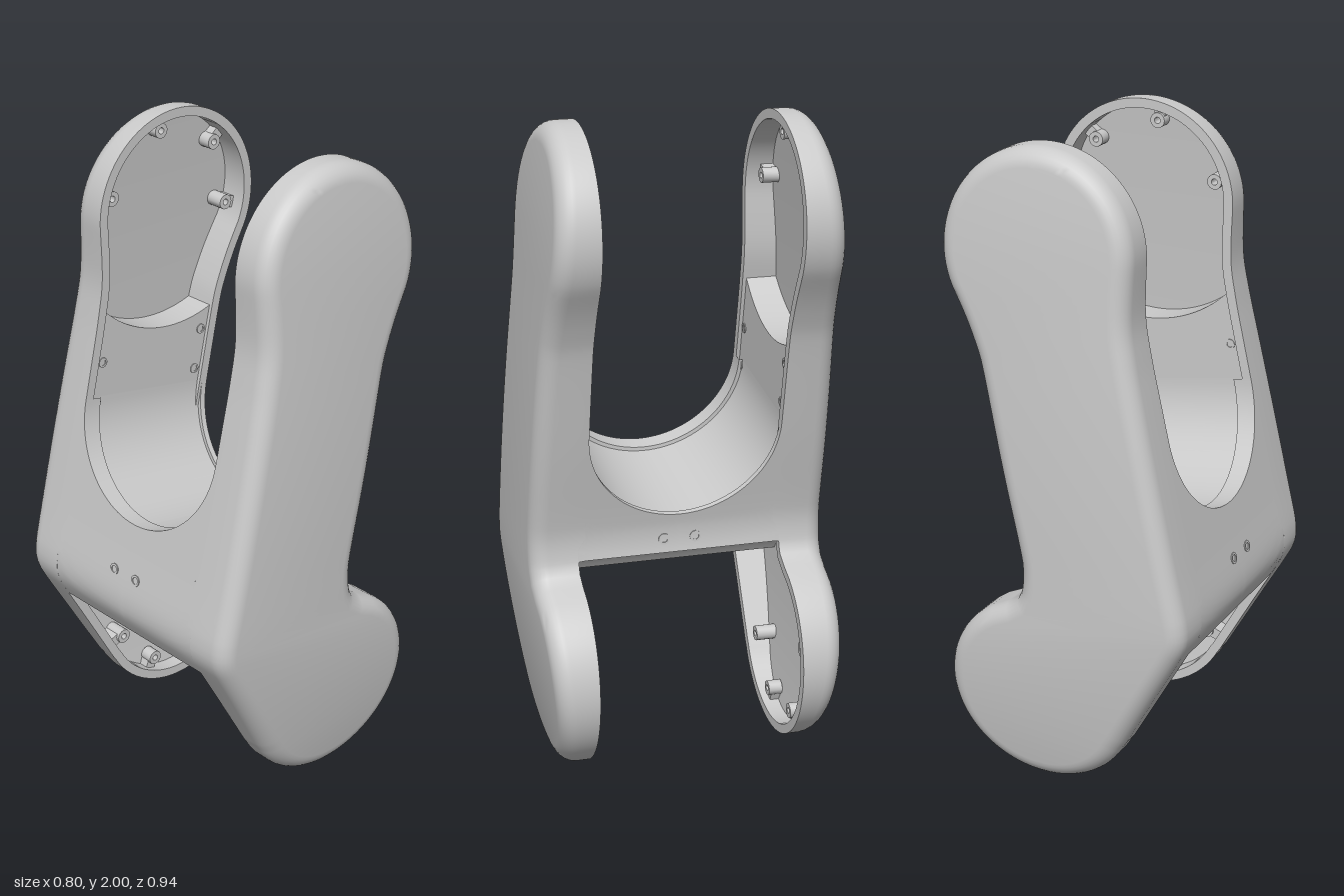
import * as THREE from 'three';
import { toCreasedNormals } from 'three/addons/utils/BufferGeometryUtils.js';

const N = 120;                        // even rows up the outline
const CX = 0.095, R = 0.305;          // end discs
const LOW = 0.305, HIGH = 1.695;
const INNER = 0.3;                    // half width of the fork gap
const STEP_Y = 0.655;                 // below this the gap is wider

const leftCurve = new THREE.SplineCurve([[-0.178, 0.165], [-0.29, 0.365], [-0.383, 0.53], [-0.4, 0.575], [-0.402, 0.61],
  [-0.395, 0.66], [-0.36, 0.81], [-0.26, 1.25], [-0.225, 1.41], [-0.207, 1.53], [-0.21, 1.695]]
  .map(p => new THREE.Vector2(...p))).getPoints(300);
const rightCurve = new THREE.SplineCurve([[0.19, 0.595], [0.16, 0.612], [0.142, 0.65], [0.137, 0.72], [0.15, 0.8], [0.2, 1.02],
  [0.265, 1.32], [0.29, 1.4], [0.325, 1.48], [0.368, 1.56]]
  .map(p => new THREE.Vector2(...p))).getPoints(300);

// Outline x at height y: disc arcs at the ends, spline flank between
function edge(curve, sign, y) {
  const last = curve.length - 1;
  if (y <= curve[0].y || y >= curve[last].y) {
    const d = y - (y <= curve[0].y ? LOW : HIGH);
    return CX + sign * Math.sqrt(Math.max(0, R * R - d * d));
  }
  const k = curve.findIndex(p => p.y > y);
  const a = curve[k - 1], b = curve[k];
  return a.x + (b.x - a.x) * (y - a.y) / (b.y - a.y);
}
const leftX = y => edge(leftCurve, -1, y);
const rightX = y => edge(rightCurve, 1, y);
const outerZ = y => 0.468 - (y > 0.7 ? 0.037 : 0.125) * (y - 0.7) ** 2;
const rimZ = y => (y < STEP_Y ? 0.32 : INNER);

// Skin closed sections; caps join matching left and right rows
function loft(sections, capped) {
  const n = sections[0].length, pos = sections.flat(2), idx = [];
  for (let s = 0; s < sections.length - 1; s++) {
    for (let i = 0; i < n; i++) {
      const a = s * n + i, b = s * n + (i + 1) % n, d = a + n, c = b + n;
      idx.push(a, d, c, a, c, b);
    }
  }
  if (capped) {
    const top = (sections.length - 1) * n;
    for (let i = 0; i < n / 2; i++) {
      const l = i, l2 = i + 1, r = (n - i) % n, r2 = n - i - 1;
      idx.push(top + l, top + r, top + r2, top + l, top + r2, top + l2);
      idx.push(l, r2, r, l, l2, r2);
    }
  }
  const g = new THREE.BufferGeometry();
  g.setAttribute('position', new THREE.Float32BufferAttribute(pos, 3));
  g.setIndex(idx);
  return g;
}

// Hollow side shell with a rounded outer edge
function shellGeometry() {
  const rows = Array.from({ length: N + 1 }, (_, i) => 1 - Math.cos(Math.PI * i / N));
  rows.push(STEP_Y - 0.001, STEP_Y + 0.001);
  rows.sort((a, b) => a - b);
  const outline = rows.map(y => [leftX(y), y]);
  for (let i = rows.length - 2; i > 0; i--) outline.push([rightX(rows[i]), rows[i]]);
  const n = outline.length;
  const ring = (inset, zOf) => outline.map(([x, y], i) => {
    const p = outline[(i + n - 1) % n], q = outline[(i + 1) % n];
    const tx = q[0] - p[0], ty = q[1] - p[1], len = Math.hypot(tx, ty);
    const py = y - tx / len * inset;
    return [x + ty / len * inset, py, zOf(py, y)];
  });
  const sections = [
    ring(0.03, y => outerZ(y) - 0.04),
    ring(0.03, (_, y) => rimZ(y)),
    ring(0, (_, y) => rimZ(y)),
  ];
  const r = 0.055;
  for (let k = 0; k <= 7; k++) {
    const a = k / 7 * Math.PI / 2;
    sections.push(ring(r * (1 - Math.cos(a)), y => outerZ(y) - r * (1 - Math.sin(a))));
  }
  return loft(sections, true);
}

// Underside arc that clears the lower disc, from front to back
function undersideArc() {
  const pts = [];
  for (let i = 0; i <= 20; i++) {
    const a = THREE.MathUtils.degToRad(84 + 64 * i / 20);
    pts.push([CX + 0.35 * Math.cos(a), LOW + 0.35 * Math.sin(a)]);
  }
  return pts;
}

// Half of the bridge, with the tilted round channel as its top
function bridgeGeometry() {
  const sections = [], axisY = x => 1.104 - 0.163 * x, deep = INNER + 0.012;
  const wallZ = y => (y < 0.7 ? 0.322 : INNER);
  const channelEnd = (xOf, c) => {
    let y = 1;
    for (let k = 0; k < 6; k++) y = axisY(xOf(y)) - INNER * c;
    return y;
  };
  for (let s = 0; s <= 24; s++) {
    const t = s / 24 * Math.PI / 2, c = Math.cos(t), sn = Math.sin(t);
    const loop = undersideArc().map(([x, y]) => [x, y, wallZ(y) * sn]);
    const yl = channelEnd(leftX, c), yr = channelEnd(rightX, c);
    for (let i = 0; i <= 20; i++) {
      const y = 0.49 + (yl - 0.49) * i / 20;
      loop.push([leftX(y), y, wallZ(y) * sn]);
    }
    const xl = leftX(yl), xr = rightX(yr);
    for (const [f, rad] of [[0.12, INNER], [0.121, deep], [0.96, deep], [0.961, INNER]]) {
      const x = xl + (xr - xl) * f;
      loop.push([x, axisY(x) - rad * c, rad * sn]);
    }
    for (let i = 0; i <= 12; i++) {
      const y = yr + (0.656 - yr) * i / 12;
      loop.push([rightX(y), y, wallZ(y) * sn]);
    }
    sections.push(loop);
  }
  return loft(sections, false);
}

// Inner cover plate between the two round pockets
function plateGeometry() {
  const pts = undersideArc();
  for (let i = 0; i <= 16; i++) {
    const y = 0.49 + (1.42 - 0.49) * i / 16;
    pts.push([leftX(y) + 0.025, y]);
  }
  const a0 = Math.atan2(-0.275, -0.29), a1 = Math.atan2(-0.367, 0.16);
  for (let i = 1; i <= 20; i++) {
    const a = a0 + (a1 - a0) * i / 20;
    pts.push([CX + 0.4 * Math.cos(a), HIGH + 0.4 * Math.sin(a)]);
  }
  for (let i = 0; i <= 12; i++) {
    const y = 1.33 + (0.67 - 1.33) * i / 12;
    pts.push([rightX(y) - 0.02, y]);
  }
  const shape = new THREE.Shape(pts.map(p => new THREE.Vector2(...p)));
  return new THREE.ExtrudeGeometry(shape, { depth: 0.115, bevelEnabled: false }).translate(0, 0, 0.312);
}

// Small collar with a hole, standing along +y
function collar(outer, hole, height) {
  const pts = [[outer, 0], [outer, height], [hole, height], [hole, 0], [0, 0]];
  return new THREE.LatheGeometry(pts.map(p => new THREE.Vector2(...p)), 16);
}

export function createModel() {
  const model = new THREE.Group();
  const grey = new THREE.MeshStandardMaterial({ color: 0xcacaca });
  grey.name = 'light grey';
  const sides = [new THREE.Group(), new THREE.Group()];
  sides[0].name = 'frontHalf';
  sides[1].name = 'backHalf';
  model.add(...sides);

  // Add a part to the front half and its mirror image to the back half
  function addPair(name, geometry, crease = 0.6) {
    const front = toCreasedNormals(geometry, crease);
    const back = front.clone().scale(1, 1, -1);
    for (const attr of Object.values(back.attributes)) {
      const { array, itemSize: k } = attr;
      for (let t = 0; t < attr.count; t += 3) {
        for (let j = 0; j < k; j++) {
          const p = (t + 1) * k + j, q = (t + 2) * k + j;
          [array[p], array[q]] = [array[q], array[p]];
        }
      }
    }
    [front, back].forEach((g, i) => {
      const mesh = new THREE.Mesh(g, grey);
      mesh.name = name;
      sides[i].add(mesh);
    });
  }

  addPair('sideShell', shellGeometry());
  addPair('bridge', bridgeGeometry());
  addPair('coverPlate', plateGeometry());

  // Screw bosses and their webs around both pockets, standing on the floor
  for (const [cy, angles] of [[HIGH, [-14, 40, 98, 165]], [LOW, [14, -58, -112, -160]]]) {
    for (const deg of angles) {
      const a = THREE.MathUtils.degToRad(deg);
      const x = CX + 0.235 * Math.cos(a), y = cy + 0.235 * Math.sin(a);
      const base = outerZ(cy + 0.28 * Math.sin(a)) - 0.035, height = base - 0.335;
      addPair('screwBoss', collar(0.024, 0.01, height).rotateX(-Math.PI / 2).translate(x, y, base));
      addPair('bossWeb', new THREE.BoxGeometry(0.03, 0.036, height - 0.01).translate(0.03, 0, 0)
        .rotateZ(a).translate(x, y, base - height / 2 + 0.005));
    }
  }

  // Screw holes in the cover plate and the bridge walls
  for (const y of [1.12, 1.25]) {
    for (const x of [leftX(y) + 0.055, rightX(y) - 0.055]) {
      addPair('plateScrewHole', collar(0.016, 0.01, 0.003).rotateX(-Math.PI / 2).translate(x, y, 0.311));
    }
  }
  addPair('rearScrewHole', collar(0.018, 0.011, 0.003).rotateZ(Math.PI / 2 - 0.22).translate(leftX(0.7), 0.7, 0.05));
  addPair('frontScrewHole', collar(0.018, 0.011, 0.003).rotateZ(-Math.PI / 2).translate(rightX(0.7), 0.7, 0.05));

  return model;
}
